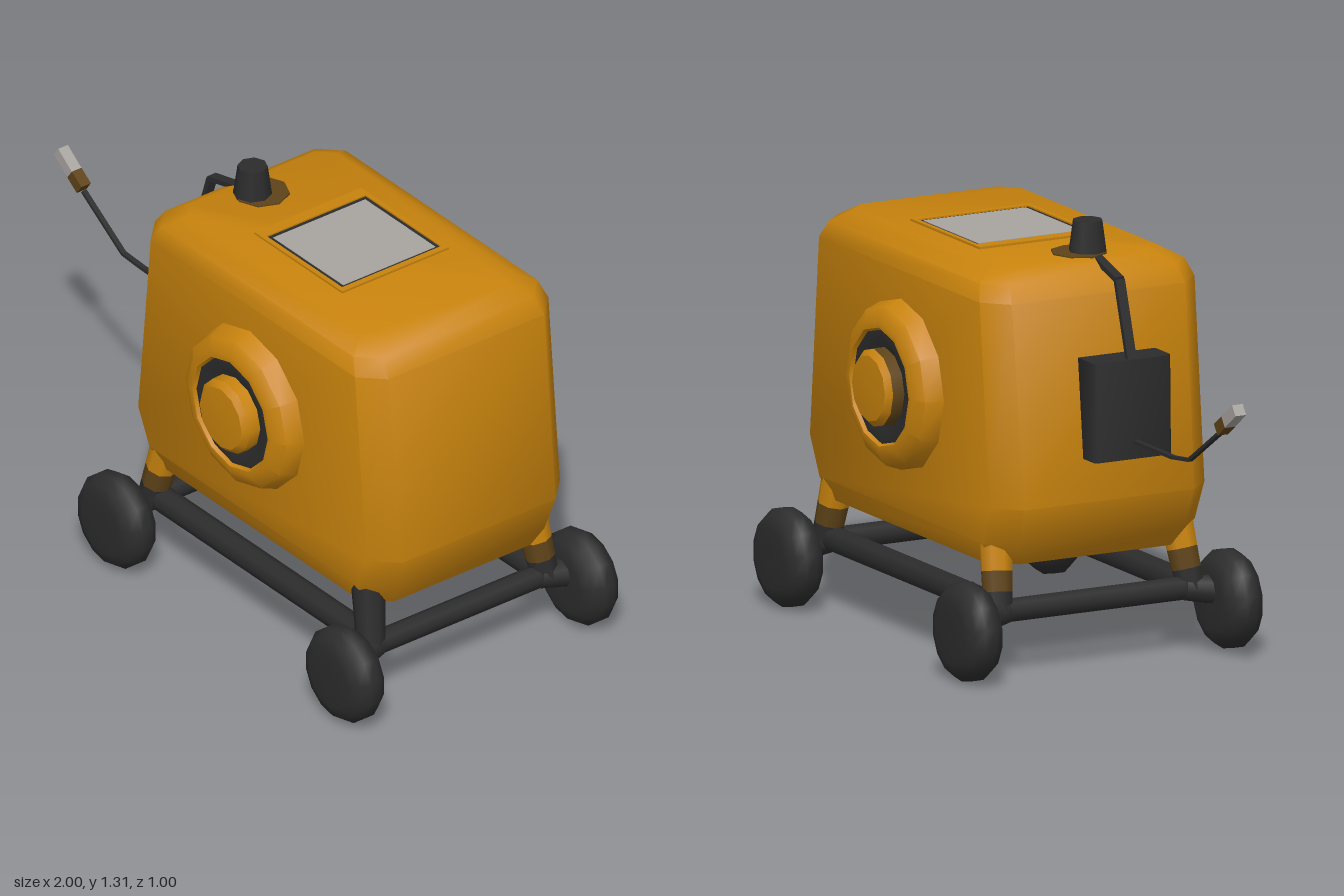
import * as THREE from 'three';
import { toCreasedNormals } from 'three/addons/utils/BufferGeometryUtils.js';

const mat = (name, color) => {
  const m = new THREE.MeshStandardMaterial({ color });
  m.name = name;
  return m;
};

// Stack of closed rings (bottom to top), capped at both ends
function loft(rings) {
  const n = rings[0].length, pos = [];
  const tri = (...pts) => pts.forEach(p => pos.push(...p));
  for (let k = 0; k < rings.length - 1; k++) {
    for (let i = 0; i < n; i++) {
      const j = (i + 1) % n, lo = rings[k], up = rings[k + 1];
      tri(lo[i], up[i], lo[j]);
      tri(lo[j], up[i], up[j]);
    }
  }
  const bottom = rings[0], top = rings[rings.length - 1];
  for (let i = 1; i < n - 1; i++) {
    tri(bottom[0], bottom[i], bottom[i + 1]);
    tri(top[0], top[i + 1], top[i]);
  }
  const g = new THREE.BufferGeometry();
  g.setAttribute('position', new THREE.Float32BufferAttribute(pos, 3));
  return toCreasedNormals(g, 0.85);
}

// Rectangle with cut corners at height y
const chamferedRing = (y, x0, x1, z, c) => [
  [x1, y, -z + c], [x1, y, z - c], [x1 - c, y, z], [x0 + c, y, z],
  [x0, y, z - c], [x0, y, -z + c], [x0 + c, y, -z], [x1 - c, y, -z],
];

export function createModel() {
  const orange = mat('orange paint', 0xc8830d);
  const black = mat('black rubber', 0x2c2c2c);
  const grey = mat('grey panel', 0xa8a4a0);
  const brown = mat('worn brown', 0x5e4318);
  const model = new THREE.Group();

  const add = (name, geometry, material, x = 0, y = 0, z = 0) => {
    const m = new THREE.Mesh(geometry, material);
    m.name = name;
    m.position.set(x, y, z);
    model.add(m);
    return m;
  };
  // Place a y-aligned geometry between two points
  const between = (name, a, b, make, material) => {
    const p = new THREE.Vector3(...a), q = new THREE.Vector3(...b);
    const d = q.clone().sub(p);
    const m = add(name, make(d.length()), material);
    m.position.copy(p).add(q).multiplyScalar(0.5);
    m.quaternion.setFromUnitVectors(new THREE.Vector3(0, 1, 0), d.normalize());
    return m;
  };
  const rod = (name, a, b, rTop, rBottom, material) =>
    between(name, a, b, l => new THREE.CylinderGeometry(rTop, rBottom, l, 8), material);
  const strip = (name, a, b, w, d, material) =>
    between(name, a, b, l => new THREE.BoxGeometry(w, l, d), material);
  const lathe = (pts, seg) => toCreasedNormals(
    new THREE.LatheGeometry(pts.map(p => new THREE.Vector2(...p)), seg), 0.7);

  // Housing, slightly wider at the bottom
  add('housing', loft([
    chamferedRing(0.335, -0.22, 0.85, 0.33, 0.075),
    chamferedRing(0.4, -0.265, 0.885, 0.355, 0.075),
    chamferedRing(0.52, -0.31, 0.93, 0.362, 0.075),
    chamferedRing(1.13, -0.245, 0.87, 0.362, 0.07),
    chamferedRing(1.18, -0.21, 0.835, 0.345, 0.065),
    chamferedRing(1.217, -0.15, 0.78, 0.28, 0.05),
  ]), orange);

  // Round ports on front and back, the back knob with a worn rim
  for (const s of [1, -1]) {
    const parts = [
      ['portCollar', [[0.26, 0], [0.24, 0.055], [0.2, 0.078], [0.18, 0.078], [0.165, 0.055]], orange],
      ['portGroove', [[0.18, 0.066], [0.16, 0.07], [0.11, 0.055]], black],
      ['portKnobRim', [[0.12, 0.04], [0.118, 0.095]], s > 0 ? orange : brown],
      ['portKnob', [[0.118, 0.095], [0.1, 0.113], [0, 0.12]], orange],
    ];
    for (const [name, profile, material] of parts) {
      const m = add(name, lathe(profile, 12), material, 0.3, 0.785, s * 0.36);
      m.rotation.x = s * Math.PI / 2;
    }
  }

  // Top panel with a raised rim and a dark seal
  const rim = new THREE.Shape();
  rim.moveTo(-0.21, -0.2).lineTo(0.21, -0.2).lineTo(0.21, 0.2).lineTo(-0.21, 0.2).closePath();
  const hole = new THREE.Path();
  hole.moveTo(-0.17, -0.185).lineTo(-0.17, 0.185).lineTo(0.19, 0.185).lineTo(0.19, -0.185).closePath();
  rim.holes.push(hole);
  const rimMesh = add('topPanelRim',
    new THREE.ExtrudeGeometry(rim, { depth: 0.008, bevelEnabled: false }), orange, 0.31, 1.216, -0.01);
  rimMesh.rotation.x = -Math.PI / 2;
  add('topPanelSeal', new THREE.BoxGeometry(0.37, 0.005, 0.38), black, 0.32, 1.217, -0.01);
  add('topPanel', new THREE.BoxGeometry(0.335, 0.007, 0.345), grey, 0.322, 1.218, -0.01);

  // Filler cap on a worn patch
  add('capPatch', new THREE.CylinderGeometry(0.085, 0.085, 0.008, 8), brown, -0.07, 1.217, 0.03);
  add('cap', new THREE.CylinderGeometry(0.045, 0.06, 0.11, 8), black, -0.08, 1.26, 0.055);

  // Side box, hose and cable
  add('sideBox', loft([
    chamferedRing(0.65, -0.37, -0.28, 0.13, 0.01),
    chamferedRing(0.95, -0.365, -0.24, 0.13, 0.01),
  ]), black, 0, 0, 0.05);
  const hose = [[-0.355, 0.94, 0.05], [-0.28, 1.175, 0.05], [-0.1, 1.222, 0.055]];
  const cable = [[-0.36, 0.702, 0.055], [-0.6, 0.702, 0.055], [-0.69, 0.712, 0.06], [-0.88, 0.835, 0.06]];
  hose.slice(1).forEach((p, i) => strip('hose', hose[i], p, 0.016, 0.03, black));
  cable.slice(1).forEach((p, i) => strip('cable', cable[i], p, 0.01, 0.016, black));
  strip('plugBase', [-0.88, 0.845, 0.06], [-0.925, 0.877, 0.06], 0.038, 0.036, brown);
  strip('plugTip', [-0.925, 0.877, 0.06], [-0.99, 0.925, 0.06], 0.036, 0.036, grey);

  // Undercarriage: legs, rails, axles and wheels
  const wheelProfile = [[0, -0.058], [0.09, -0.064], [0.13, -0.045], [0.15, -0.015],
    [0.15, 0.02], [0.13, 0.048], [0.09, 0.063], [0, 0.06]];
  for (const z of [1, -1]) {
    rod('rail', [-0.22, 0.21, z * 0.315], [0.83, 0.21, z * 0.315], 0.04, 0.04, black);
    for (const [axleX, footX, hipX] of [[-0.24, -0.22, -0.16], [0.85, 0.83, 0.78]]) {
      const dark = axleX > 0 && z > 0;
      const foot = new THREE.Vector3(footX, 0.19, z * 0.325);
      const hip = new THREE.Vector3(hipX, 0.43, z * 0.3);
      const at = t => foot.clone().lerp(hip, t).toArray();
      rod('lowerLeg', at(0), at(0.27), 0.046, 0.044, black);
      rod('legJoint', at(0.27), at(0.52), 0.048, 0.046, dark ? black : brown);
      rod('upperLeg', at(0.52), at(1), 0.053, 0.048, dark ? black : orange);
      const wheel = add('wheel', new THREE.LatheGeometry(
        wheelProfile.map(p => new THREE.Vector2(...p)), 14), black, axleX, 0.157, z * 0.437);
      wheel.rotation.x = z * Math.PI / 2;
      rod('hub', [footX, 0.2, z * 0.3], [axleX, 0.185, z * 0.43], 0.05, 0.038, black);
    }
  }
  for (const x of [-0.22, 0.83]) rod('axle', [x, 0.2, -0.34], [x, 0.2, 0.34], 0.036, 0.036, black);

  return model;
}
